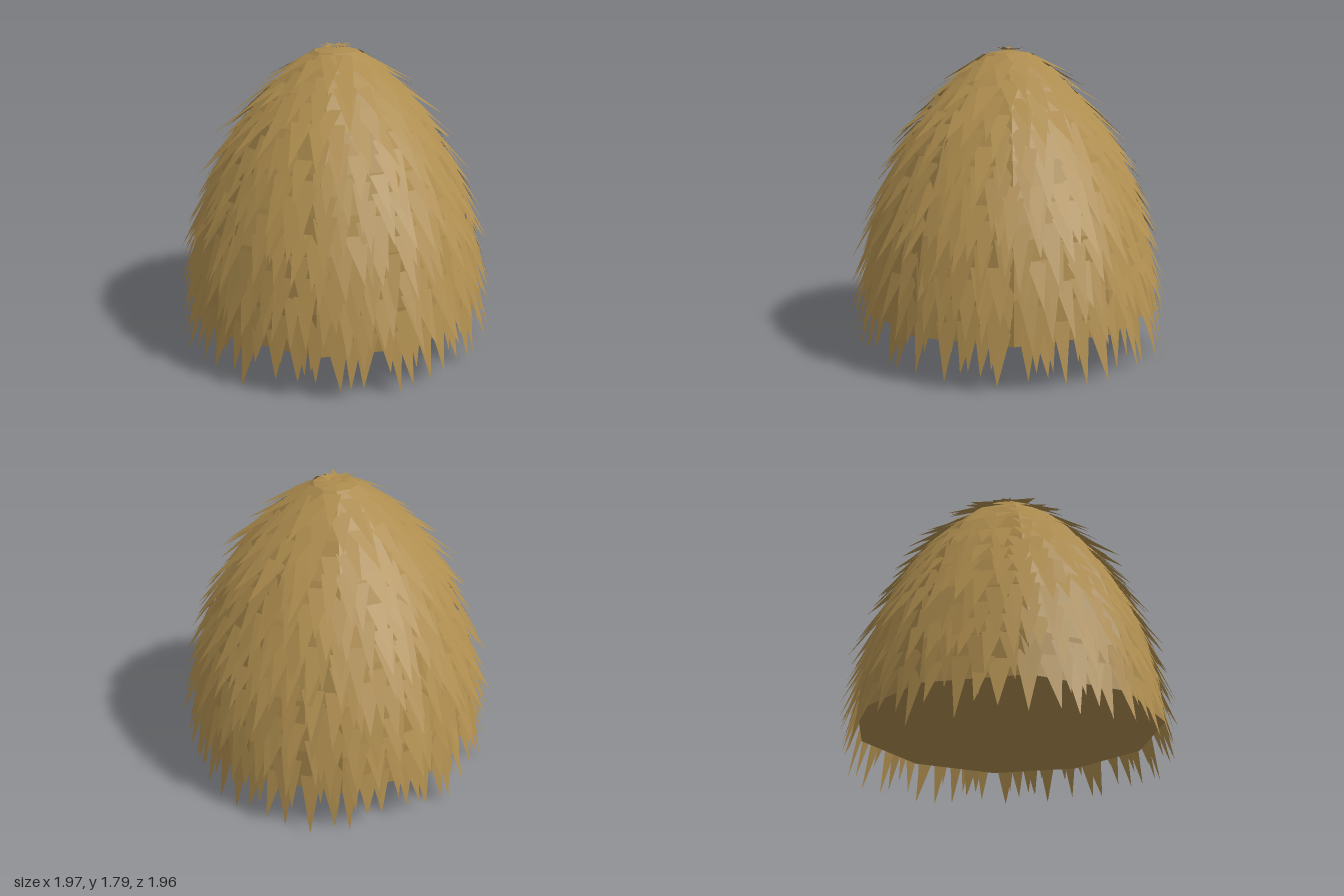
import * as THREE from 'three';

// Dome profile as [radius, height], from the rim up to the crown
const PROFILE = [[0.9, 0.25], [0.885, 0.5], [0.825, 0.8], [0.75, 1.0], [0.655, 1.2],
  [0.53, 1.4], [0.375, 1.57], [0.25, 1.68], [0.13, 1.762], [0, 1.782]];

// Small seeded generator for the straw variation
function makeRandom(seed) {
  let s = seed;
  return (a, b) => {
    s = (s * 16807) % 2147483647;
    return a + (b - a) * (s / 2147483647);
  };
}

// Radius and downward slope of the dome at height y
function domeAt(y) {
  let i = 0;
  while (i < PROFILE.length - 2 && PROFILE[i + 1][1] < y) i++;
  const [r0, y0] = PROFILE[i], [r1, y1] = PROFILE[i + 1];
  const t = (y - y0) / (y1 - y0);
  const len = Math.hypot(r0 - r1, y0 - y1);
  return { r: r0 + (r1 - r0) * t, dr: (r0 - r1) / len, dy: (y0 - y1) / len };
}

// One pointed blade: base centred at (r, y), tip at (tipR, tipY), around angle a
function addBlade(out, a, r, y, tipR, tipY, width, skew) {
  const c = Math.cos(a), s = Math.sin(a);
  const put = (rad, side, h) => out.push(rad * c - side * s, h, rad * s + side * c);
  put(r, width / 2, y);
  put(r, -width / 2, y);
  put(tipR, skew, tipY);
}

function bladeMesh(name, positions, material) {
  const geo = new THREE.BufferGeometry();
  geo.setAttribute('position', new THREE.Float32BufferAttribute(positions, 3));
  geo.computeVertexNormals();
  const mesh = new THREE.Mesh(geo, material);
  mesh.name = name;
  return mesh;
}

export function createModel() {
  const group = new THREE.Group();
  group.name = 'haystack';
  const straw = new THREE.MeshStandardMaterial({ color: 0xad8c4e, flatShading: true, side: THREE.DoubleSide });
  straw.name = 'straw';
  const rnd = makeRandom(4711);

  // Ten-sided closed core
  const points = [[0, 0.25], ...PROFILE].map(([r, y]) => new THREE.Vector2(r, y));
  const core = new THREE.Mesh(new THREE.LatheGeometry(points, 10, Math.PI / 10), straw);
  core.name = 'core';
  group.add(core);

  // Overlapping rows of straw blades, stepping evenly down the slope
  let y = 1.735;
  for (let row = 0; y > 0.34; row++) {
    const { r, dr, dy } = domeAt(y);
    const count = Math.max(14, Math.round((2 * Math.PI * r) / 0.11));
    const blades = [];
    for (let i = 0; i < count; i++) {
      const a = ((i + (row % 2) / 2 + rnd(-0.3, 0.3)) / count) * Math.PI * 2;
      const by = y + rnd(-0.025, 0.025);
      const base = domeAt(by).r * 0.985;
      const len = rnd(0.24, 0.36);
      // Tip follows the slope and lifts away from the dome, more so lower down
      const lift = rnd(0.01, 0.05) + 0.035 * r;
      const tipR = base + dr * len - dy * lift;
      const tipY = Math.max(0.005, by + dy * len + dr * lift);
      addBlade(blades, a, base, by, tipR, tipY, rnd(0.1, 0.145), rnd(-0.03, 0.03));
    }
    group.add(bladeMesh('strawRow' + (row + 1), blades, straw));
    y += dy * 0.108;
  }

  // Small star of straw on the crown
  const crown = [];
  for (let i = 0; i < 10; i++) {
    const a = ((i + rnd(-0.2, 0.2)) / 10) * Math.PI * 2;
    addBlade(crown, a, 0.03, 1.782, rnd(0.08, 0.13), rnd(1.785, 1.8), 0.06, 0);
  }
  group.add(bladeMesh('crownStraw', crown, straw));

  return group;
}
